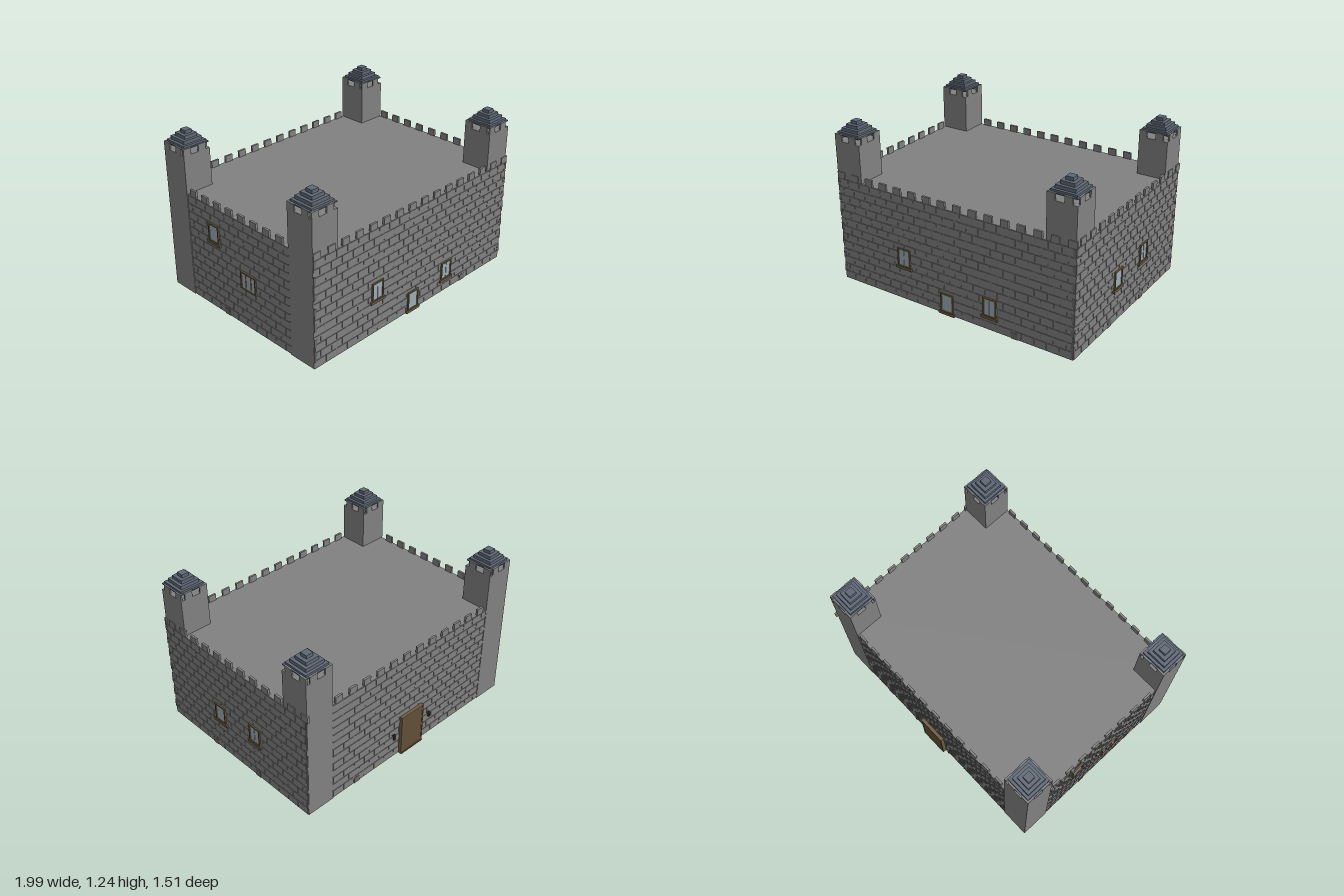
import * as THREE from 'three';
import { mergeGeometries } from 'three/addons/utils/BufferGeometryUtils.js';

const paint = (color) => new THREE.MeshStandardMaterial({ color, flatShading: true });
const mats = {
  mortar: paint(0x787878), stone: paint(0x818181), dark: paint(0x6a6a6a),
  wood: paint(0x6e5d40), door: paint(0x604f35), glass: paint(0x9cabb4),
  roof: paint(0x5e6875), iron: paint(0x3c3c3c),
};

// Box from min/max limits
function box(x0, x1, y0, y1, z0, z1) {
  return new THREE.BoxGeometry(x1 - x0, y1 - y0, z1 - z0)
    .translate((x0 + x1) / 2, (y0 + y1) / 2, (z0 + z1) / 2);
}

function add(parent, name, mat, ...boxes) {
  const mesh = new THREE.Mesh(boxes.length > 1 ? mergeGeometries(boxes) : boxes[0], mats[mat]);
  mesh.name = name;
  parent.add(mesh);
  return mesh;
}

const WALL_H = 0.815, MERLON_H = 0.05;

// Staggered courses of shallow bricks between two ends of a wall
function bricks(from, to) {
  const list = [], pitch = 0.098, course = 0.0625;
  for (let row = 0; row < 13; row++) {
    const y0 = row * course + 0.012, y1 = Math.min(y0 + 0.05, WALL_H);
    for (let x = from - (row % 2) * pitch / 2; x < to; x += pitch) {
      const a = Math.max(x + 0.004, from), b = Math.min(x + pitch - 0.004, to);
      if (b - a > 0.01) list.push(box(a, b, y0, y1, -0.002, 0.002));
    }
  }
  return list;
}

// Framed window with sill; (x, y) is the middle of the sill's underside
function windowUnit(wall, x, y, w, h, bars, sill = true) {
  const g = new THREE.Group();
  g.name = 'window';
  g.position.set(x, y, 0);
  const r = w / 2, b = 0.02, t = b + h, f = 0.011;
  add(g, 'windowFrame', 'wood',
    box(-r, -r + f, b, t, 0, 0.012), box(r - f, r, b, t, 0, 0.012),
    box(-r + f, r - f, t - f, t, 0, 0.012), box(-r + f, r - f, b, b + f / 2, 0, 0.012));
  add(g, 'windowGlass', 'glass', box(-r + f, r - f, b, t - f, 0, 0.006));
  if (sill) add(g, 'windowSill', 'wood', box(-r - 0.013, r + 0.013, 0, b, 0, 0.016));
  for (let i = 1; i <= bars; i++) {
    const bx = -r + (w * i) / (bars + 1);
    const s = bars > 1 ? 0.004 : 0.001;
    add(g, 'windowBar', bars > 1 ? 'wood' : 'glass', box(bx - s, bx + s, b, t - f, 0.006, 0.009));
  }
  wall.add(g);
}

// Wall face: local x runs along it, local z points outward
function wallFace(root, name, angle, px, pz, from, to) {
  const wall = new THREE.Group();
  wall.name = name;
  wall.rotation.y = angle;
  wall.position.set(px, 0, pz);
  add(wall, name + 'Bricks', 'stone', ...bricks(from, to));
  root.add(wall);
  return wall;
}

function merlons(wall, start, pitch, count) {
  const list = [];
  for (let i = 0; i < count; i++) {
    const x = start + i * pitch;
    list.push(box(x, x + 0.063, WALL_H, WALL_H + MERLON_H, -0.014, 0.002));
  }
  add(wall, 'battlements', 'stone', ...list);
}

function baseStone(wall, x) {
  add(wall, 'baseStone', 'dark', box(x - 0.025, x + 0.025, 0, 0.047, 0, 0.004));
}

// Square tower with an open crown and stepped roof
function tower(root, x, z) {
  const g = new THREE.Group();
  g.name = 'cornerTower';
  g.position.set(x, 0, z);
  const r = 0.11, t = 0.012, y0 = 1.1, y1 = 1.15;
  add(g, 'towerShaft', 'stone', box(-r, r, 0, y0, -r, r));
  const crown = [];
  for (const s of [-1, 1]) {
    const a = s * r, b = s * (r - t), lo = Math.min(a, b), hi = Math.max(a, b);
    for (const o of [0, 0.125]) crown.push(box(-r + o, -r + o + 0.06, y0, y1, lo, hi));
    for (const o of [0.03, 0.16]) crown.push(box(lo, hi, y0, y1, r - o - 0.06, r - o));
  }
  add(g, 'towerCrown', 'stone', ...crown);
  const widths = [0.214, 0.19, 0.15, 0.105, 0.055], tops = [1.15, 1.165, 1.19, 1.215, 1.24];
  widths.forEach((w, i) => {
    const bottom = i ? tops[i - 1] : 1.142;
    add(g, 'roofStep', 'roof', box(-w / 2, w / 2, bottom, tops[i], -w / 2, w / 2));
  });
  root.add(g);
}

export function createModel() {
  const root = new THREE.Group();
  root.name = 'castle';

  add(root, 'castleBody', 'mortar', box(-0.98, 0.98, 0, WALL_H - 0.002, -0.727, 0.738));
  add(root, 'roofDeck', 'stone', box(-0.98, 0.98, WALL_H - 0.002, WALL_H, -0.727, 0.738));

  for (const x of [-0.876, 0.866]) for (const z of [-0.622, 0.625]) tower(root, x, z);

  const front = wallFace(root, 'frontWall', 0, 0, 0.739, -0.983, 0.982);
  const right = wallFace(root, 'leftWall', Math.PI / 2, 0.981, 0, -0.738, 0.73);
  const back = wallFace(root, 'backWall', Math.PI, 0, -0.728, -0.756, 0.766);
  const left = wallFace(root, 'rightWall', -Math.PI / 2, -0.981, 0, -0.512, 0.515);

  merlons(front, -0.983, 0.127, 16);
  merlons(back, -0.982, 0.127, 16);
  merlons(right, -0.69, 0.125, 12);
  merlons(left, -0.73, 0.125, 12);

  // Corner stones
  for (let i = 0; i < 7; i++) {
    const y = 0.055 + i * 0.117;
    add(root, 'cornerStone', 'dark', box(0.96, 0.984, y, y + 0.055, 0.72, 0.742));
    add(root, 'cornerStone', 'dark', box(-0.985, -0.965, y, y + 0.055, 0.72, 0.742));
    add(root, 'cornerStone', 'dark', box(0.965, 0.984, y, y + 0.055, -0.729, -0.71));
  }

  // Windows
  windowUnit(front, -0.402, 0.25, 0.11, 0.14, 1);
  windowUnit(front, -0.033, 0, 0.108, 0.145, 0);
  windowUnit(front, 0.327, 0.09, 0.11, 0.14, 1);
  windowUnit(right, -0.162, 0.25, 0.108, 0.14, 0);
  windowUnit(right, 0.21, 0.29, 0.11, 0.14, 1);
  windowUnit(left, -0.237, 0.53, 0.108, 0.135, 0);
  windowUnit(left, 0.108, 0.285, 0.155, 0.135, 2, false);

  // Dark stones along the ground
  baseStone(front, 0.527);
  baseStone(right, -0.255);
  baseStone(right, 0.215);
  baseStone(back, -0.53);
  baseStone(left, -0.14);

  // Door and lanterns
  add(back, 'doorFrame', 'wood',
    box(-0.11, -0.1, 0, 0.335, 0, 0.027), box(0.1, 0.11, 0, 0.335, 0, 0.027),
    box(-0.1, 0.1, 0.325, 0.335, 0, 0.027));
  add(back, 'doorPanel', 'door', box(-0.1, 0.1, 0.01, 0.325, 0, 0.024));
  add(back, 'doorStep', 'wood', box(-0.11, 0.11, 0, 0.01, 0, 0.03));
  for (const x of [-0.18, 0.18]) {
    add(back, 'lantern', 'iron', box(x - 0.007, x + 0.007, 0.18, 0.225, 0.014, 0.028),
      box(x - 0.003, x + 0.003, 0.2, 0.21, 0, 0.014));
  }
  return root;
}
